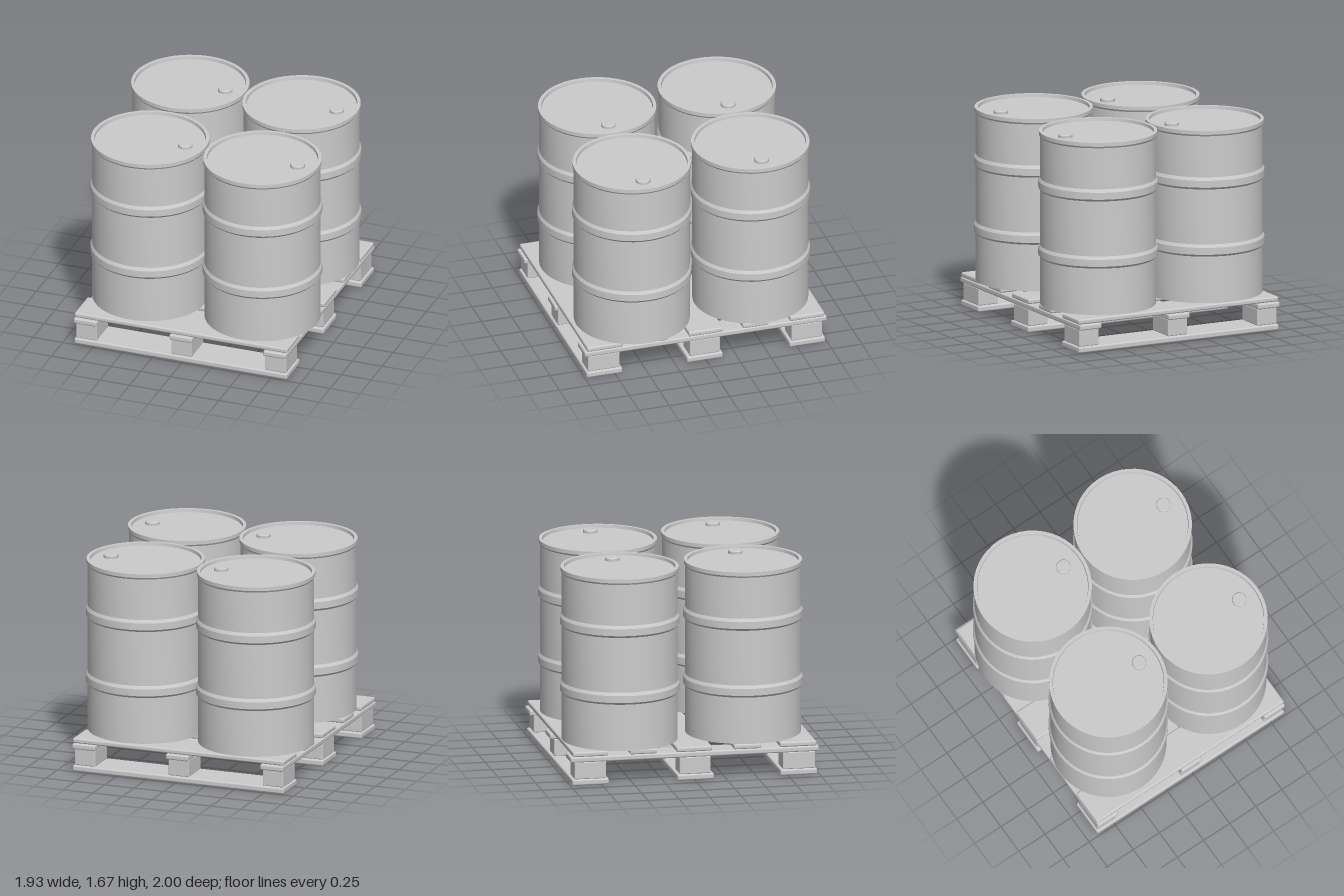
import * as THREE from 'three';
import { toCreasedNormals } from 'three/addons/utils/BufferGeometryUtils.js';
import { RoundedBoxGeometry } from 'three/addons/geometries/RoundedBoxGeometry.js';

const material = new THREE.MeshStandardMaterial({ color: 0xcccccc });

// Softly rounded timber given by its [min, max] ranges
function timber(name, [x0, x1], [y0, y1], [z0, z1], radius = 0.013) {
  const geometry = new RoundedBoxGeometry(x1 - x0, y1 - y0, z1 - z0, 2, radius);
  const mesh = new THREE.Mesh(geometry, material);
  mesh.name = name;
  mesh.position.set((x0 + x1) / 2, (y0 + y1) / 2, (z0 + z1) / 2);
  return mesh;
}

function lathe(points, segments) {
  const profile = points.map(([r, y]) => new THREE.Vector2(r, y));
  return toCreasedNormals(new THREE.LatheGeometry(profile, segments), 0.4);
}

function createPallet() {
  const pallet = new THREE.Group();
  pallet.name = 'pallet';
  const length = [-0.91, 0.88];

  // Deck boards running side to side
  const deck = [[-0.98, -0.695], [-0.52, -0.305], [-0.145, 0.14], [0.315, 0.535], [0.685, 0.98]];
  for (const z of deck) pallet.add(timber('deckBoard', length, [0.23, 0.27], z));

  // Stringer boards running front to back
  for (const x of [[-0.91, -0.715], [-0.107, 0.085], [0.683, 0.877]]) {
    pallet.add(timber('stringerBoard', x, [0.185, 0.23], [-1, 1]));
  }

  // Bottom boards
  for (const z of [[-0.985, -0.69], [-0.14, 0.155], [0.69, 0.985]]) {
    pallet.add(timber('bottomBoard', length, [0, 0.048], z));
  }

  // Spacer blocks
  for (const x of [[-0.9, -0.725], [-0.1, 0.073], [0.693, 0.867]]) {
    for (const z of [[-0.965, -0.71], [-0.12, 0.13], [0.71, 0.97]]) {
      pallet.add(timber('spacerBlock', x, [0.048, 0.185], z, 0.008));
    }
  }
  return pallet;
}

// Outer shell: two rolling hoops, a top rim and a recessed lid
const body = 0.458, hoop = 0.472;
const hoopProfile = (y) => [[body, y - 0.045], [hoop, y - 0.028], [hoop, y + 0.028], [body, y + 0.053]];
const drumGeometry = lathe([
  [0, 0.272], [body, 0.272],
  ...hoopProfile(0.693), ...hoopProfile(1.235),
  [body, 1.62], [0.467, 1.634], [0.467, 1.665], [0.44, 1.665], [0.437, 1.64], [0, 1.64],
], 48);

// Bung cap on the lid
const capGeometry = lathe([[0.058, 1.638], [0.058, 1.66], [0.052, 1.668], [0, 1.668]], 16);

function createDrum(x, z) {
  const drum = new THREE.Group();
  drum.name = 'drum';
  const shell = new THREE.Mesh(drumGeometry, material);
  shell.name = 'drumShell';
  const cap = new THREE.Mesh(capGeometry, material);
  cap.name = 'bungCap';
  cap.position.x = 0.295;
  drum.add(shell, cap);
  drum.position.set(x, 0, z);
  return drum;
}

export function createModel() {
  const model = new THREE.Group();
  model.name = 'palletWithDrums';
  model.add(createPallet());
  // Four drums standing slightly out of line
  for (const [x, z] of [[-0.494, -0.52], [0.449, -0.5], [-0.458, 0.48], [0.491, 0.492]]) {
    model.add(createDrum(x, z));
  }
  return model;
}
